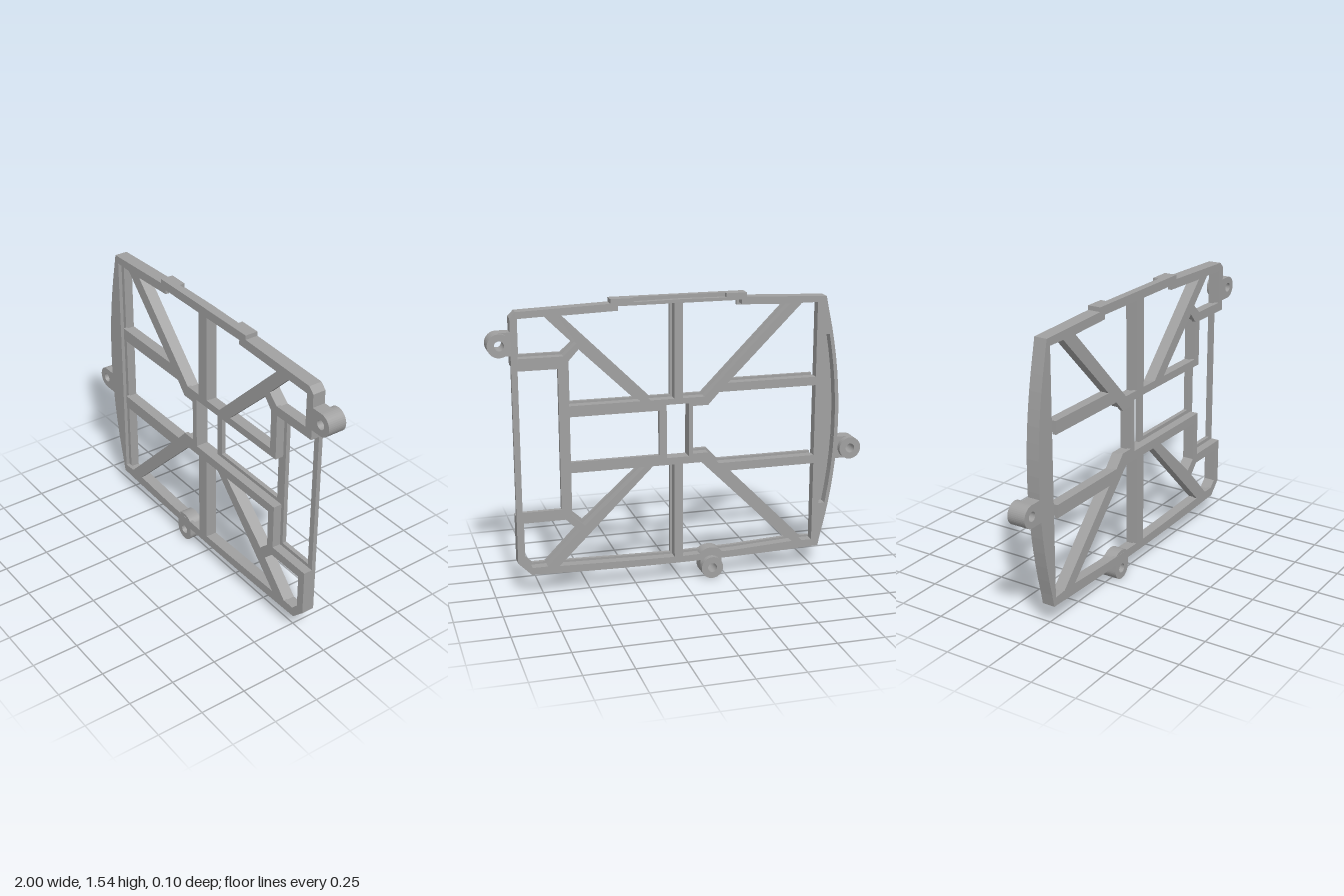
import * as THREE from 'three';

// Grow a closed polygon outward by d with mitred corners
function grow(pts, d) {
  const n = pts.length;
  let area = 0;
  pts.forEach((p, i) => { const q = pts[(i + 1) % n]; area += p[0] * q[1] - q[0] * p[1]; });
  const s = Math.sign(area) * d;
  const normal = (a, b) => {
    const l = Math.hypot(b[0] - a[0], b[1] - a[1]);
    return [(b[1] - a[1]) / l, -(b[0] - a[0]) / l];
  };
  return pts.map((p, i) => {
    const n1 = normal(pts[(i + n - 1) % n], p), n2 = normal(p, pts[(i + 1) % n]);
    const k = s / (1 + n1[0] * n2[0] + n1[1] * n2[1]);
    return [p[0] + (n1[0] + n2[0]) * k, p[1] + (n1[1] + n2[1]) * k];
  });
}

const toPoints = (pts) => pts.map(([x, y]) => new THREE.Vector2(x, y));
const rect = (x0, y0, x1, y1) => [[x0, y0], [x1, y0], [x1, y1], [x0, y1]];

export function createModel() {
  const model = new THREE.Group();
  model.name = 'bracketFrame';
  const grey = new THREE.MeshStandardMaterial({ color: 0xa0a0a0 });
  grey.name = 'grey plastic';

  const add = (name, shape, z0, z1) => {
    const geo = new THREE.ExtrudeGeometry(shape, { depth: z1 - z0, bevelEnabled: false, curveSegments: 20 });
    const mesh = new THREE.Mesh(geo, grey);
    mesh.name = name;
    mesh.position.z = z0;
    model.add(mesh);
  };
  const plate = (name, outline, holes, z0, z1) => {
    const shape = new THREE.Shape(toPoints(outline));
    holes.forEach((h) => shape.holes.push(new THREE.Path(toPoints(h))));
    add(name, shape, z0, z1);
  };

  // Bowed outline, counter-clockwise from the bottom left; optional stepped recess on the right
  const leftX = (y) => -0.878 + 0.2 * (y - 0.83) ** 2;
  const outline = (notch) => {
    const pts = [[-0.78, 0.115]];
    for (let i = 1; i < 10; i++) {
      const x = -0.78 + i * 0.159;
      pts.push([x, 0.098 + 0.027 * x * x]);
    }
    pts.push([0.81, 0.115], [0.88, 0.185]);
    if (notch) pts.push([0.88, 0.44], [0.625, 0.44], [0.625, 0.69], [-0.04, 0.69],
      [-0.04, 0.978], [0.625, 0.978], [0.625, 1.23], [0.88, 1.23]);
    pts.push([0.88, 1.475], [0.85, 1.505], [0.37, 1.522], [0, 1.527], [-0.35, 1.522], [-0.79, 1.505]);
    for (let i = 1; i <= 16; i++) {
      const y = 1.505 - i * 0.0825;
      pts.push([leftX(y), y]);
    }
    return pts;
  };

  // Openings between the bars
  const leftHoles = [
    [[-0.73, 1.462], [-0.66, 1.465], [-0.28, 1.085], [-0.73, 1.085]],
    [[-0.73, 1.015], [-0.21, 1.015], [-0.15, 0.95], [-0.075, 0.95], [-0.075, 0.715],
      [-0.15, 0.715], [-0.21, 0.65], [-0.73, 0.65]],
    [[-0.73, 0.58], [-0.28, 0.58], [-0.69, 0.165], [-0.73, 0.165]],
  ];
  const holes = [
    [[-0.56, 1.465], [-0.31, 1.475], [-0.31, 1.498], [-0.02, 1.498], [-0.02, 1.02], [-0.12, 1.02]],
    [[0.05, 1.02], [0.05, 1.498], [0.32, 1.498], [0.32, 1.475], [0.61, 1.465], [0.16, 1.02]],
    [[0.25, 1.02], [0.58, 1.02], [0.58, 1.235], [0.53, 1.29]],
    [[0.7, 1.465], [0.835, 1.46], [0.835, 1.28], [0.62, 1.28], [0.565, 1.33]],
    [[-0.6, 0.165], [-0.3, 0.15], [-0.02, 0.145], [-0.02, 0.64], [-0.12, 0.64]],
    [[0.05, 0.64], [0.15, 0.64], [0.635, 0.16], [0.3, 0.15], [0.05, 0.145]],
    [[0.23, 0.64], [0.58, 0.64], [0.58, 0.425], [0.525, 0.375]],
    [[0.62, 0.39], [0.835, 0.39], [0.835, 0.2], [0.8, 0.165], [0.73, 0.165], [0.565, 0.335]],
  ];
  // Front face: left openings joined by a shallow vertical groove
  const comb = [[-0.765, 1.465], ...leftHoles[0].slice(1, 3), [-0.735, 1.085], [-0.735, 1.015],
    ...leftHoles[1].slice(1, 7), [-0.735, 0.65], [-0.735, 0.58],
    ...leftHoles[2].slice(1, 3), [-0.765, 0.16]];

  // Pocket behind the bowed left panel
  const pocket = [[-0.778, 0.36], [-0.778, 1.3]];
  for (let i = 0; i <= 10; i++) {
    const y = 1.3 - i * 0.094;
    pocket.push([leftX(y) + 0.02, y]);
  }

  const ribHoles = [...leftHoles, ...holes].map((h) => grow(h, 0.012));
  ribHoles.push(pocket);
  const windows = [rect(0.645, 0.46, 0.848, 1.205), rect(-0.04, 0.69, 0.08, 0.978), rect(0.12, 0.71, 0.59, 0.95)];

  plate('frontFlange', outline(true), [comb, ...holes], 0.03, 0.05);
  plate('middleRibs', outline(true), ribHoles, 0.003, 0.03);
  plate('backRibs', outline(false), [...ribHoles, ...windows], -0.02, 0.003);

  // Top tab: a front lip with a thicker block at each end
  plate('topLip', rect(-0.35, 1.515, 0.37, 1.545), [], 0.01, 0.05);
  plate('topTabRight', rect(-0.35, 1.515, -0.24, 1.545), [], -0.02, 0.01);
  plate('topTabLeft', rect(0.25, 1.515, 0.37, 1.545), [], -0.02, 0.01);

  // Screw lugs: a rounded neck reaching towards the frame, and a boss at the back
  const lug = (name, x, y, angle, reach) => {
    const r = 0.06;
    const at = (u, v) => [x + u * Math.cos(angle) - v * Math.sin(angle), y + u * Math.sin(angle) + v * Math.cos(angle)];
    const drill = (s) => {
      s.holes.push(new THREE.Path().absarc(x, y, 0.025, 0, Math.PI * 2, true));
      return s;
    };
    const pts = [at(reach, -r), at(reach, r)];
    for (let i = 0; i <= 20; i++) {
      const a = Math.PI / 2 + (i / 20) * Math.PI;
      pts.push(at(r * Math.cos(a), r * Math.sin(a)));
    }
    add(name, drill(new THREE.Shape(toPoints(pts))), -0.02, 0.05);
    add(name + 'Boss', drill(new THREE.Shape().absarc(x, y, r, 0, Math.PI * 2)), -0.05, -0.02);
  };
  lug('rightLug', -0.94, 0.67, 0, 0.085);
  lug('leftLug', 0.94, 1.345, Math.PI, 0.075);
  lug('bottomLug', -0.165, 0.06, Math.PI / 2, 0.06);

  // Rounded pad above the bottom lug
  const pad = new THREE.Shape();
  pad.moveTo(-0.23, 0.13);
  pad.lineTo(-0.1, 0.13);
  pad.quadraticCurveTo(-0.12, 0.165, -0.165, 0.165);
  pad.quadraticCurveTo(-0.21, 0.165, -0.23, 0.13);
  add('bottomLugPad', pad, -0.02, 0.049);

  return model;
}
